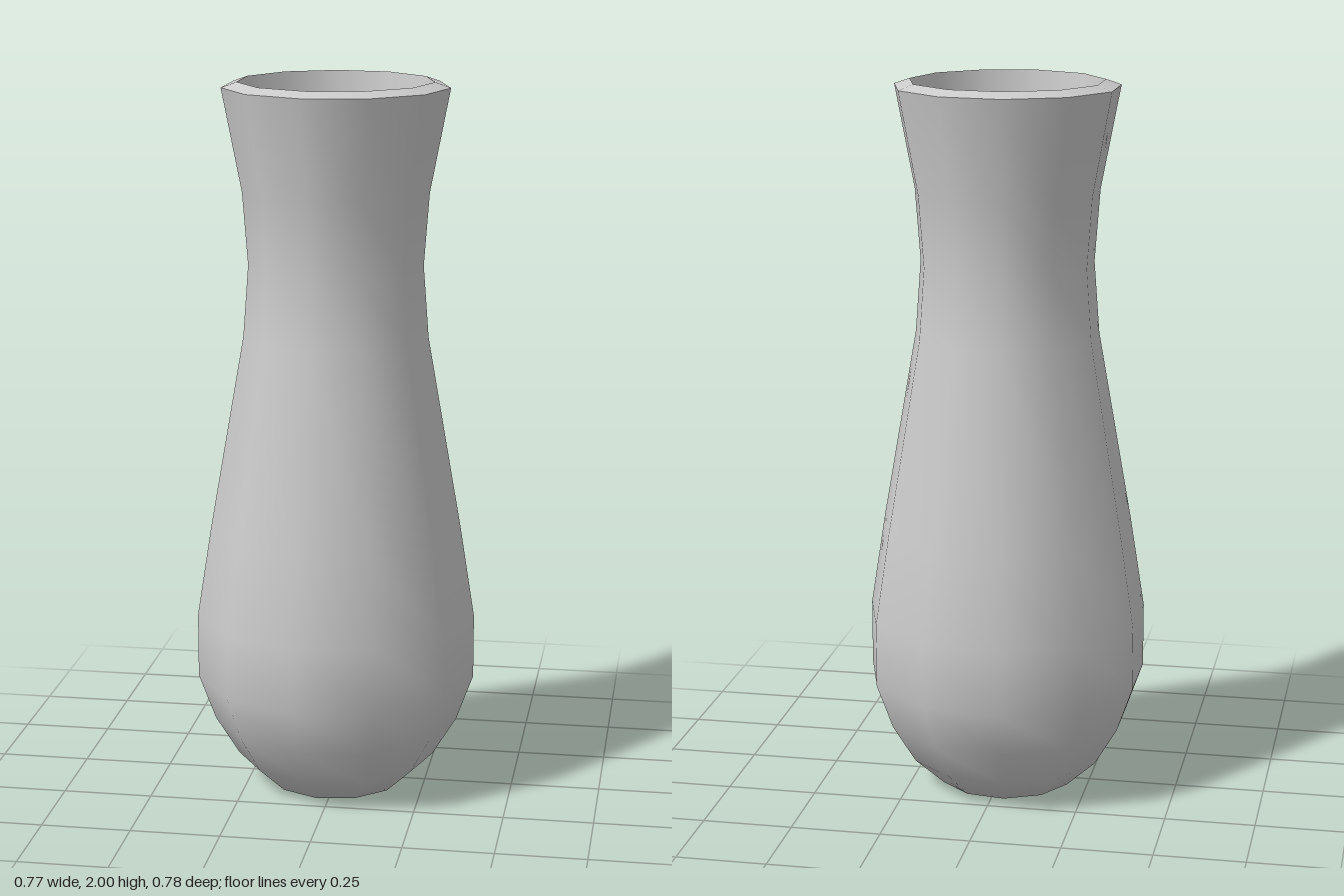
import * as THREE from 'three';

const SIDES = 11;

// Revolve a profile; one corner of the 11-sided ring points to +x
function turned(name, profile, material) {
  const points = profile.map(([r, y]) => new THREE.Vector2(r, y));
  const mesh = new THREE.Mesh(new THREE.LatheGeometry(points, SIDES, Math.PI / 2), material);
  mesh.name = name;
  return mesh;
}

export function createModel() {
  const vase = new THREE.Group();
  vase.name = 'vase';
  const material = new THREE.MeshStandardMaterial({ color: 0xcccccc });

  // Outer wall, from the centre of the base up to the lip
  const outer = [
    [0, 0], [0.193, 0], [0.28, 0.08], [0.347, 0.19], [0.394, 0.32], [0.394, 0.5],
    [0.353, 0.76], [0.258, 1.3], [0.243, 1.5], [0.258, 1.7], [0.313, 1.985],
  ];
  // Bevelled lip, kept separate so its edges stay sharp
  const lip = [[0.313, 1.985], [0.27, 2]];
  // Inner wall, from the lip down to the centre of the floor
  const inner = [
    [0.27, 2], [0.222, 1.7], [0.212, 1.5], [0.222, 1.3], [0.315, 0.76], [0.355, 0.5],
    [0.355, 0.33], [0.315, 0.21], [0.258, 0.115], [0.18, 0.04], [0, 0.04],
  ];

  vase.add(
    turned('outerWall', outer, material),
    turned('lip', lip, material),
    turned('innerWall', inner, material),
  );
  // An odd-sided ring is lopsided in x, so shift it to centre its bounds
  vase.children.forEach((part) => { part.position.x = -0.008; });
  return vase;
}
